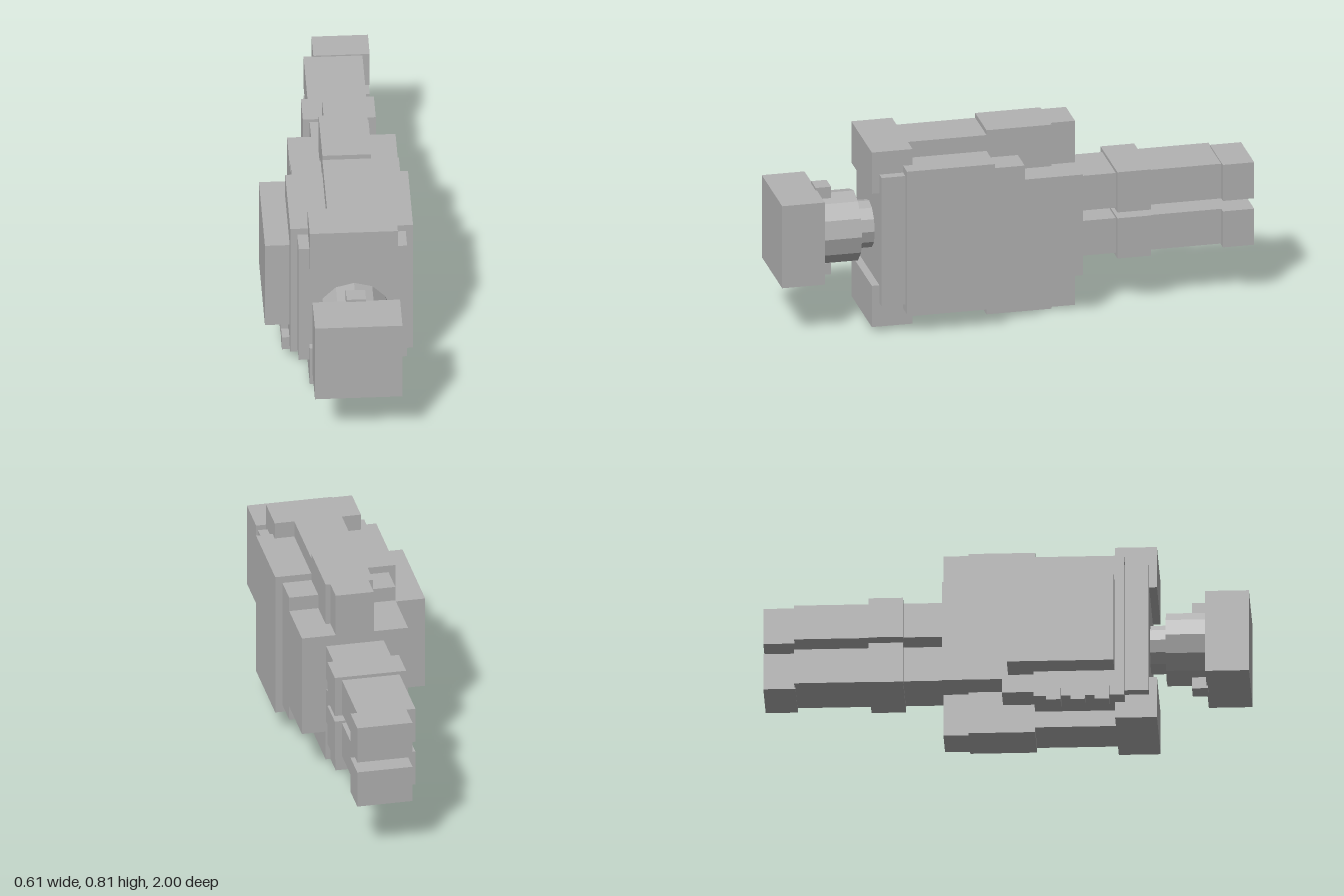
import * as THREE from 'three';

export function createModel() {
  const model = new THREE.Group();
  const grey = new THREE.MeshStandardMaterial({ color: 0xb2b2b2, flatShading: true });
  grey.name = 'hull grey';

  const CX = 0.05; // centre line of the body
  const CY = 0.407; // mirror height for upper and lower parts

  const add = (name, geometry, x, y, z) => {
    const mesh = new THREE.Mesh(geometry, grey);
    mesh.name = name;
    mesh.position.set(x, y, z);
    model.add(mesh);
    return mesh;
  };

  // Box given by its limits along each axis
  const box = (name, [x0, x1], [y0, y1], [z0, z1]) =>
    add(name, new THREE.BoxGeometry(x1 - x0, y1 - y0, z1 - z0),
      (x0 + x1) / 2, (y0 + y1) / 2, (z0 + z1) / 2);

  // Same box above and below the mirror height
  const boxPair = (name, xs, [y0, y1], zs) => {
    box(name + 'Upper', xs, [y0, y1], zs);
    box(name + 'Lower', xs, [2 * CY - y1, 2 * CY - y0], zs);
  };

  // Twelve-sided drum lying along z
  const drum = (name, radius, z0, z1) => {
    const geometry = new THREE.CylinderGeometry(radius, radius, z1 - z0, 12).rotateX(Math.PI / 2);
    add(name, geometry, CX, CY + 0.002, (z0 + z1) / 2);
  };

  // Head and neck
  box('head', [-0.13, 0.23], [0.227, 0.589], [0.82, 1]);
  boxPair('headTab', [0.01, 0.09], [0.55, 0.6], [0.76, 0.825]);
  drum('neckCollar', 0.15, 0.655, 0.821);
  drum('neck', 0.1, 0.58, 0.66);

  // Hull
  box('mainHull', [-0.174, 0.272], [0.125, 0.692], [-0.014, 0.59]);
  box('rearHull', [-0.174, 0.272], [0.186, 0.63], [-0.26, -0.01]);
  box('sideArmour', [-0.203, 0.302], [0.093, 0.722], [0.118, 0.49]);

  // T-shaped spines above and below the hull
  boxPair('frontBrow', [-0.13, 0.232], [0.61, 0.792], [0.45, 0.622]);
  boxPair('spine', [-0.05, 0.15], [0.61, 0.792], [0.1, 0.455]);
  boxPair('rearSpine', [-0.05, 0.15], [0.6, 0.813], [-0.157, 0.118]);
  boxPair('spineTail', [-0.03, 0.13], [0.6, 0.813], [-0.26, -0.15]);

  // Side pod with a row of small studs beneath
  box('sidePod', [-0.305, -0.17], [0.204, 0.61], [0.012, 0.45]);
  for (let i = 0; i < 3; i++) {
    const z = 0.17 + i * 0.1;
    box('podStud' + (i + 1), [-0.234, -0.155], [0.062, 0.123], [z, z + 0.06]);
  }

  // Two stacked tail beams with cuffs and end blocks
  boxPair('tailBeam', [-0.072, 0.17], [0.43, 0.583], [-0.872, -0.25]);
  boxPair('tailCuff', [-0.1, 0.2], [0.42, 0.597], [-0.565, -0.423]);
  boxPair('tailEnd', [-0.032, 0.2], [0.43, 0.589], [-1, -0.868]);

  return model;
}
